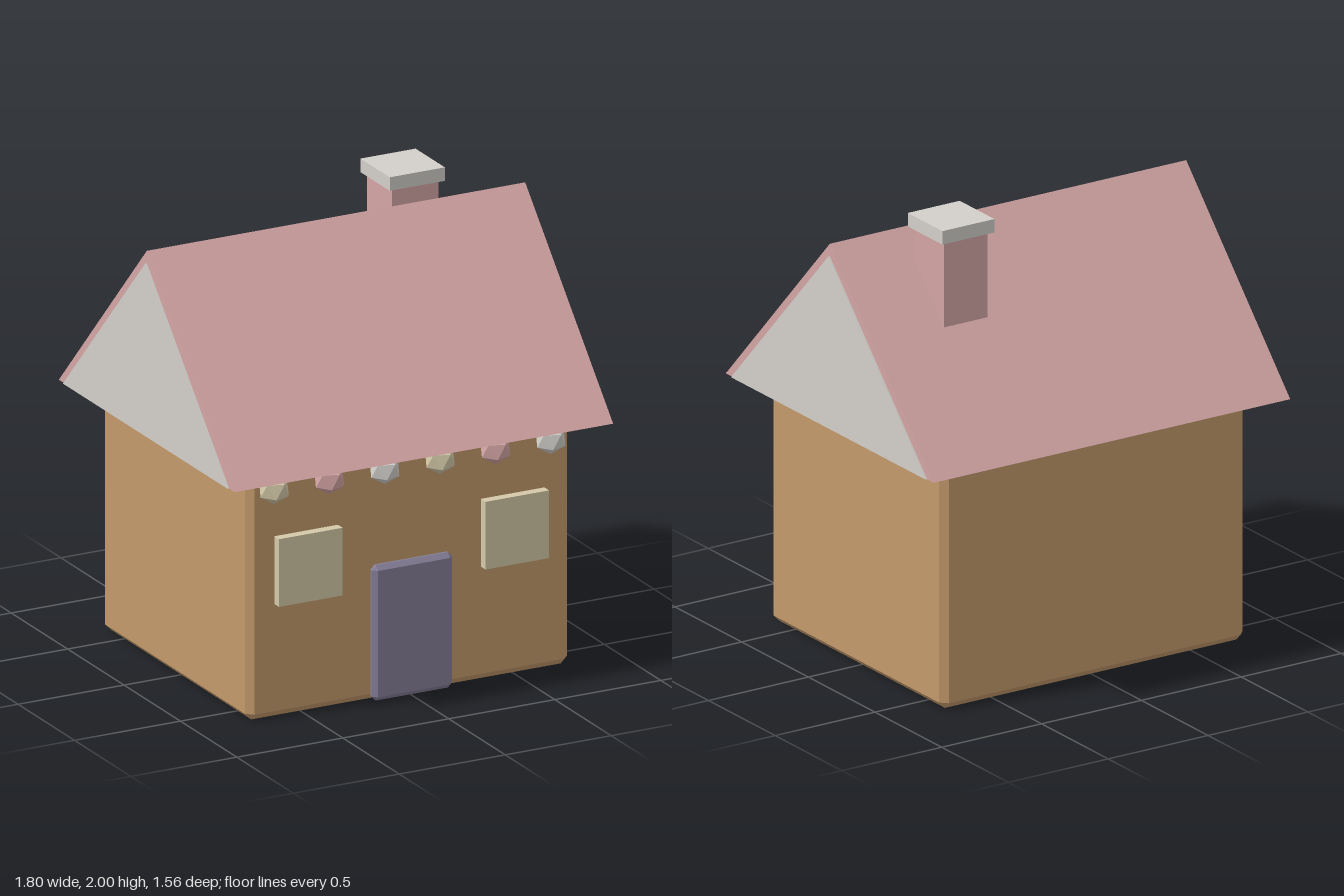
import * as THREE from 'three';
import { ConvexGeometry } from 'three/addons/geometries/ConvexGeometry.js';

function material(name, color) {
  const m = new THREE.MeshStandardMaterial({ color });
  m.name = name;
  return m;
}

// Box with every edge cut by a single flat chamfer c
function chamferBox(w, h, d, c) {
  const points = [];
  for (const x of [-1, 1]) for (const y of [-1, 1]) for (const z of [-1, 1]) {
    for (let axis = 0; axis < 3; axis++) {
      const half = [w / 2, h / 2, d / 2].map((s, i) => (i === axis ? s : s - c));
      points.push(new THREE.Vector3(x * half[0], y * half[1], z * half[2]));
    }
  }
  return new ConvexGeometry(points);
}

// Extrude a [z, y] outline along x, centred on x = 0
function extrudeAlongX(outline, length) {
  const shape = new THREE.Shape(outline.map(([z, y]) => new THREE.Vector2(-z, y)));
  const geometry = new THREE.ExtrudeGeometry(shape, { depth: length, bevelEnabled: false });
  return geometry.translate(0, 0, -length / 2).rotateY(Math.PI / 2);
}

export function createModel() {
  const wood = material('wood', 0xc49a6c);
  const pink = material('rosePink', 0xd4a5a5);
  const stone = material('paleStone', 0xd3d0cb);
  const cream = material('cream', 0xd4c9a8);
  const purple = material('dustyPurple', 0x857e98);

  const house = new THREE.Group();
  house.name = 'house';
  const add = (name, geometry, mat, x = 0, y = 0, z = 0) => {
    const mesh = new THREE.Mesh(geometry, mat);
    mesh.name = name;
    mesh.position.set(x, y, z);
    house.add(mesh);
  };

  // Walls and door
  add('walls', chamferBox(1.52, 1.085, 1.3, 0.03), wood, 0, 0.5425, 0);
  add('door', chamferBox(0.38, 0.6, 0.05, 0.02), purple, 0, 0.305, 0.667);

  // Windows
  for (const [name, x] of [['rightWindow', -0.487], ['leftWindow', 0.487]]) {
    add(name, new THREE.BoxGeometry(0.3, 0.3, 0.05), cream, x, 0.655, 0.667);
  }

  // Gable block with the roof shell over it
  const eave = 1.085;
  add('gable', extrudeAlongX([[-0.73, eave], [0.73, eave], [0, 1.85]], 1.8), stone);
  add('roof', extrudeAlongX([
    [-0.78, eave], [-0.728, eave], [0, 1.848], [0.728, eave], [0.78, eave], [0, 1.905],
  ], 1.785), pink);

  // Chimney
  add('chimney', new THREE.BoxGeometry(0.22, 0.54, 0.22), pink, 0.43, 1.67, -0.217);
  add('chimneyCap', new THREE.BoxGeometry(0.26, 0.06, 0.26), stone, 0.43, 1.97, -0.217);

  // Row of faceted lanterns under the front eave, standing on a point
  const gem = new THREE.IcosahedronGeometry(0.07, 0);
  gem.rotateZ(-Math.atan(2 / (1 + Math.sqrt(5))));
  const gemColors = [cream, pink, stone];
  for (let i = 0; i < 6; i++) {
    add(`lantern${i + 1}`, gem, gemColors[i % 3], -0.655 + i * 0.261, 1.03, 0.68);
  }

  return house;
}
